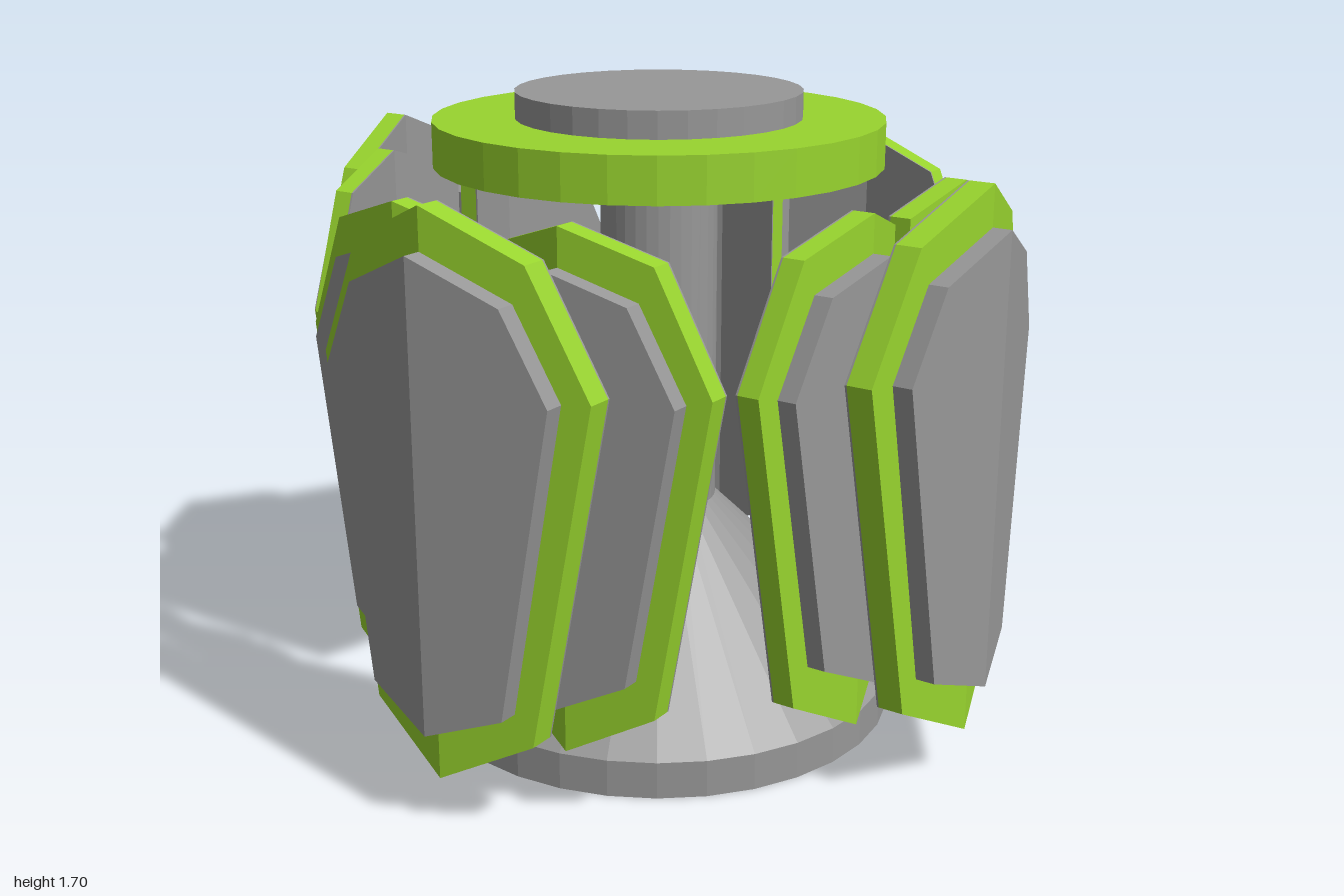
import * as THREE from 'three';

const grey = new THREE.MeshStandardMaterial({ color: 0x979797 });
grey.name = 'grey';
const green = new THREE.MeshStandardMaterial({ color: 0x98d42e });
green.name = 'green';

const SLOPE = 0.24; // how far a panel falls back on each side of its fold

function addMesh(parent, name, geometry, material) {
  const mesh = new THREE.Mesh(geometry, material);
  mesh.name = name;
  parent.add(mesh);
}

// Faceted drum or cone between two heights
function drum(parent, name, rBottom, rTop, y0, y1, material) {
  const g = new THREE.CylinderGeometry(rTop, rBottom, y1 - y0, 32).toNonIndexed();
  g.translate(0, (y0 + y1) / 2, 0);
  g.computeVertexNormals();
  addMesh(parent, name, g, material);
}

// Half of a folded plate: an outline on one side of x = 0, extruded and sheared back
function halfPlate(parent, name, points, side, z0, z1, material) {
  const shape = new THREE.Shape(points.map(([x, y]) => new THREE.Vector2(x * side, y)));
  const g = new THREE.ExtrudeGeometry(shape, { depth: z1 - z0, bevelEnabled: false });
  const p = g.attributes.position;
  for (let i = 0; i < p.count; i++) {
    p.setZ(i, p.getZ(i) + z0 - SLOPE * Math.abs(p.getX(i)));
  }
  g.computeVertexNormals();
  addMesh(parent, name, g, material);
}

// Armour panel: green frame, raised grey face and thin grey lining on the inside
function panelHalf(parent, side, frame, face, z) {
  halfPlate(parent, 'panelLining', frame, side, z[0], z[0] + 0.005, grey);
  halfPlate(parent, 'panelFrame', frame, side, z[0] + 0.005, z[1], green);
  halfPlate(parent, 'panelFace', face, side, z[1], z[2], grey);
}

// Half outlines, from the top of the fold outward and down to its bottom
const outerFrame = [[0, 1.555], [0.25, 1.44], [0.4, 1.135], [0.245, 0.265], [0, 0.135]];
const outerFace = [[0, 1.45], [0.22, 1.35], [0.33, 1.13], [0.2, 0.345], [0, 0.27]];
const innerFrame = [[0, 1.505], [0.225, 1.43], [0.36, 1.135], [0.225, 0.325], [0, 0.2]];
const innerFace = [[0, 1.41], [0.19, 1.345], [0.3, 1.12], [0.18, 0.42], [0, 0.33]];
// The side towards the middle is cut straight
const cutFrame = [[0, 1.505], [0.205, 1.435], [0.205, 0.315], [0, 0.2]];
const cutFace = [[0, 1.41], [0.2, 1.34], [0.2, 0.43], [0, 0.33]];

export function createModel() {
  const model = new THREE.Group();
  model.name = 'armouredCore';

  // Base, column and cap
  drum(model, 'baseDisc', 0.65, 0.65, 0, 0.1, grey);
  drum(model, 'baseCone', 0.65, 0.155, 0.1, 0.59, grey);
  drum(model, 'column', 0.155, 0.155, 0.55, 1.51, grey);
  drum(model, 'capUnderside', 0.49, 0.58, 1.5, 1.512, grey);
  drum(model, 'capRing', 0.59, 0.59, 1.512, 1.63, green);
  drum(model, 'capTop', 0.375, 0.375, 1.63, 1.7, grey);

  // Each of the four sides has one outer panel in front of two inner ones
  for (let i = 0; i < 4; i++) {
    const quarter = new THREE.Group();
    quarter.name = 'panelCluster';
    quarter.rotation.y = i * Math.PI / 2;
    model.add(quarter);

    const outer = new THREE.Group();
    outer.name = 'outerPanel';
    quarter.add(outer);
    for (const side of [-1, 1]) {
      panelHalf(outer, side, outerFrame, outerFace, [0.88, 0.95, 1.0]);

      const inner = new THREE.Group();
      inner.name = 'innerPanel';
      inner.position.x = side * 0.245;
      quarter.add(inner);
      panelHalf(inner, side, innerFrame, innerFace, [0.705, 0.765, 0.812]);
      panelHalf(inner, -side, cutFrame, cutFace, [0.705, 0.765, 0.812]);
    }
  }
  return model;
}
